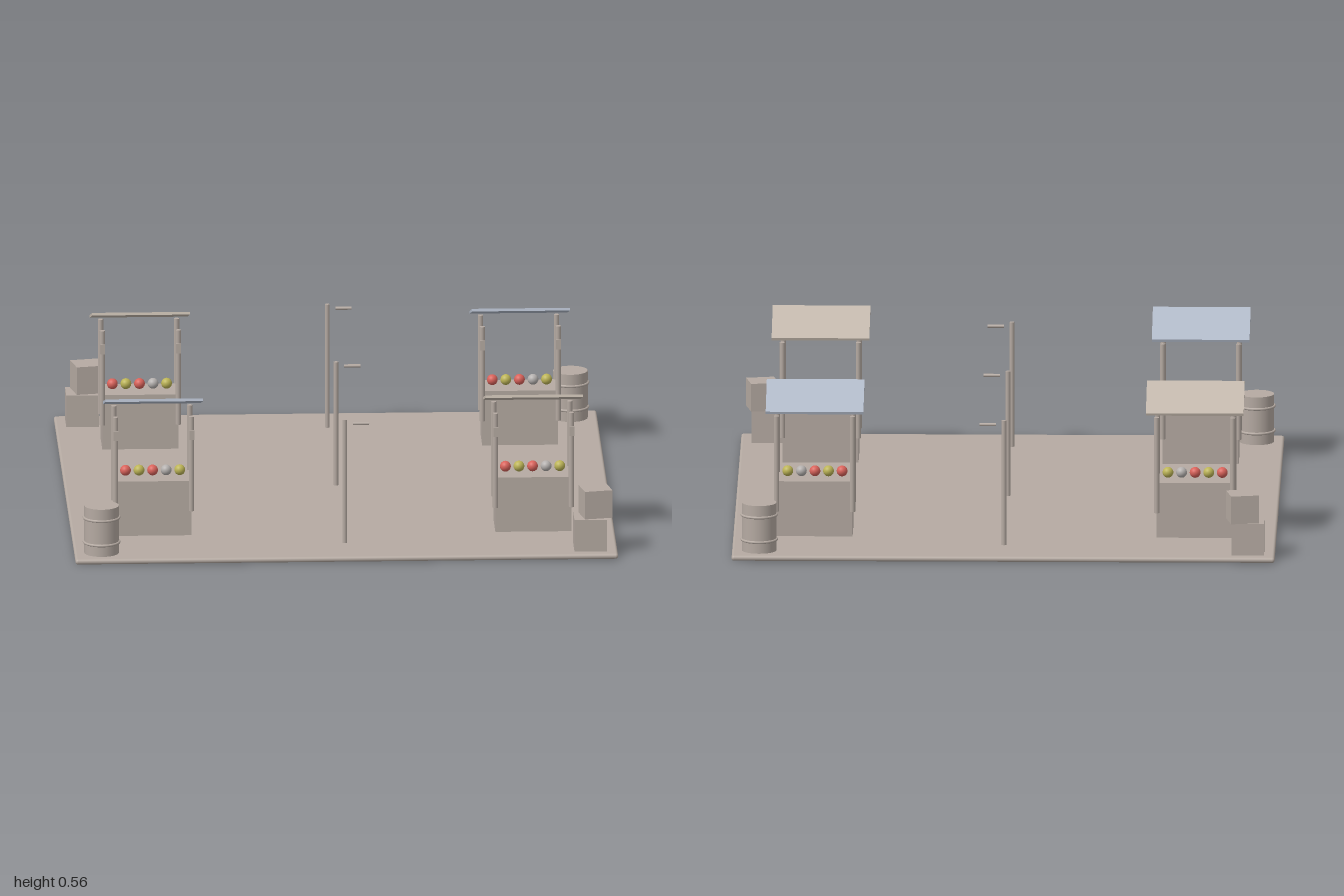
import * as THREE from 'three';
import { RoundedBoxGeometry } from 'three/addons/geometries/RoundedBoxGeometry.js';

const material = (name, color) => {
  const m = new THREE.MeshStandardMaterial({ color });
  m.name = name;
  return m;
};

export function createModel() {
  const taupe = material('taupe wood', 0xb5aaa2);
  const beige = material('beige cloth', 0xc5baae);
  const blue = material('blue cloth', 0xb3bccb);
  const red = material('red fruit', 0xd9625a);
  const yellow = material('yellow fruit', 0xbcb456);
  const grey = material('grey fruit', 0xb4b0ae);

  const model = new THREE.Group();
  model.name = 'marketSquare';

  const add = (parent, name, geometry, mat, x, y, z) => {
    const mesh = new THREE.Mesh(geometry, mat);
    mesh.name = name;
    mesh.position.set(x, y, z);
    parent.add(mesh);
    return mesh;
  };
  const group = (name, x, z) => {
    const g = new THREE.Group();
    g.name = name;
    g.position.set(x, 0.02, z);
    model.add(g);
    return g;
  };

  // Paved ground slab
  add(model, 'ground', new RoundedBoxGeometry(2, 0.02, 2, 3, 0.0095), taupe, 0, 0.01, 0);

  // Market stalls, all facing forward
  const counterGeo = new THREE.BoxGeometry(0.28, 0.19, 0.15);
  const slabGeo = new THREE.BoxGeometry(0.28, 0.018, 0.155);
  const postGeo = new THREE.CylinderGeometry(0.01, 0.01, 0.36, 12);
  const plateGeo = new THREE.BoxGeometry(0.018, 0.036, 0.008);
  const awningGeo = new THREE.BoxGeometry(0.36, 0.01, 0.24);
  const fruitGeo = new THREE.SphereGeometry(0.02, 20, 14);
  const fruitColours = [red, yellow, red, grey, yellow];

  const makeStall = (x, z, cloth) => {
    const stall = group('stall', x, z);
    add(stall, 'counter', counterGeo, taupe, 0, 0.095, 0);
    add(stall, 'counterTop', slabGeo, taupe, 0, 0.199, 0);
    for (const side of [-1, 1]) {
      for (const end of [-1, 1]) add(stall, 'post', postGeo, taupe, side * 0.14, 0.275, end * 0.08);
      add(stall, 'hangingPlate', plateGeo, taupe, side * 0.14, 0.393, 0.114);
    }
    add(stall, 'awning', awningGeo, cloth, 0, 0.502, 0.035).rotation.x = -0.3;
    fruitColours.forEach((c, i) => add(stall, 'fruit', fruitGeo, c, (i - 2) * 0.05, 0.23, 0));
  };
  for (const sx of [-1, 1])
    for (const sz of [-1, 1]) makeStall(sx * 0.7, sz * 0.6, sx * sz < 0 ? blue : beige);

  // Lamp posts along the middle, each with a short side arm
  const lampPostGeo = new THREE.CylinderGeometry(0.009, 0.009, 0.47, 12);
  const armGeo = new THREE.CylinderGeometry(0.006, 0.006, 0.06, 10);
  for (const z of [-0.8, 0, 0.8]) {
    const lamp = group('lampPost', 0, z);
    add(lamp, 'pole', lampPostGeo, taupe, 0, 0.235, 0);
    add(lamp, 'arm', armGeo, taupe, 0.06, 0.454, 0).rotation.z = Math.PI / 2;
  }

  // Barrels with hoops, on two opposite corners
  const barrelGeo = new THREE.CylinderGeometry(0.064, 0.064, 0.18, 24);
  const hoopGeo = new THREE.TorusGeometry(0.065, 0.005, 8, 28);
  for (const s of [-1, 1]) {
    const barrel = group('barrel', s * 0.9, -s * 0.9);
    add(barrel, 'barrelBody', barrelGeo, taupe, 0, 0.09, 0);
    for (const y of [0.042, 0.135]) add(barrel, 'hoop', hoopGeo, taupe, 0, y, 0).rotation.x = Math.PI / 2;
  }

  // Stacked crates on the other two corners
  const lowerGeo = new THREE.BoxGeometry(0.12, 0.12, 0.12);
  const upperGeo = new THREE.BoxGeometry(0.104, 0.105, 0.104);
  for (const s of [-1, 1]) {
    const crates = group('crates', s * 0.9, s * 0.9);
    add(crates, 'lowerCrate', lowerGeo, taupe, 0, 0.06, 0);
    add(crates, 'upperCrate', upperGeo, taupe, 0.02, 0.1725, -0.01).rotation.y = 0.2;
  }

  return model;
}
